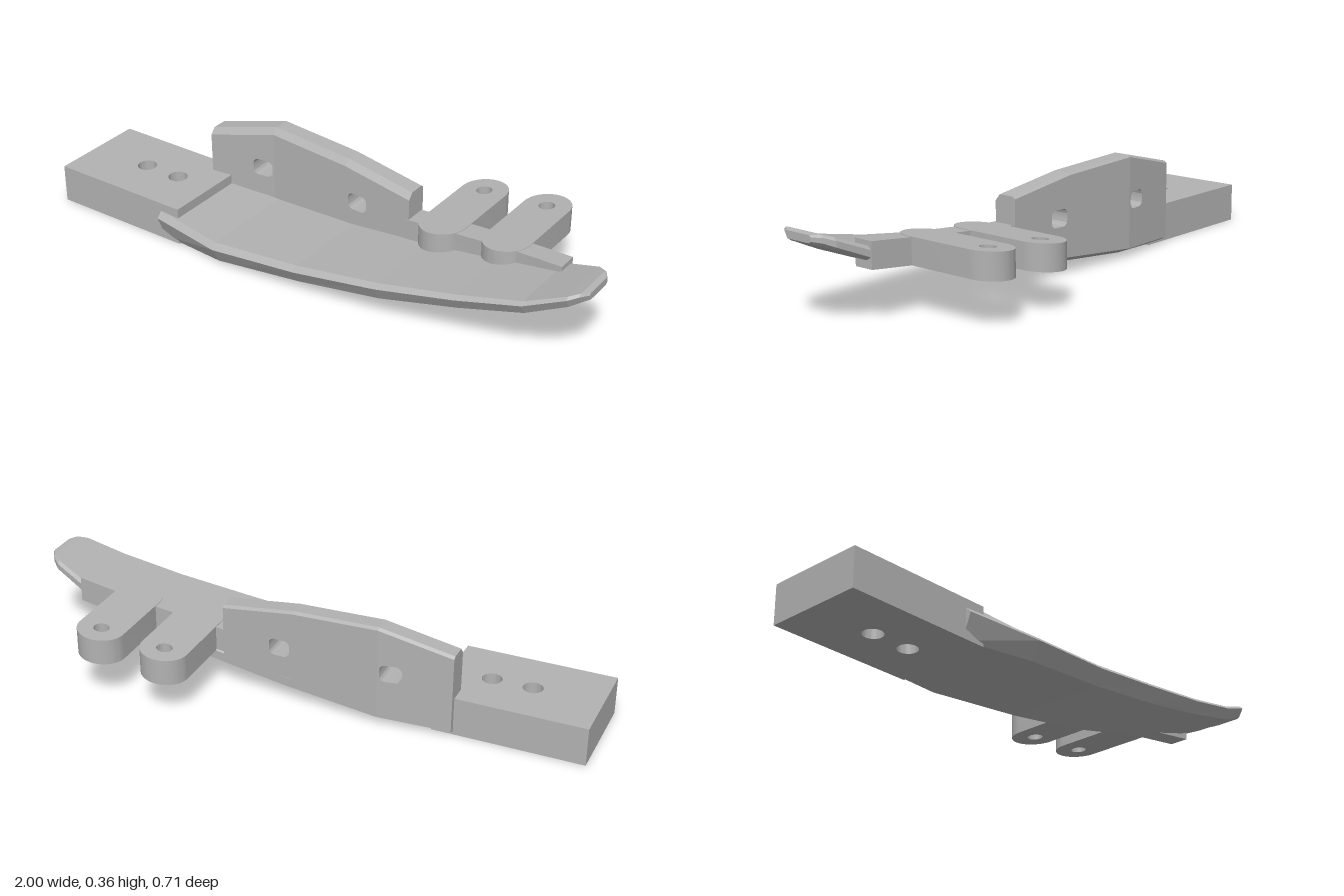
import * as THREE from 'three';
import { toCreasedNormals } from 'three/addons/utils/BufferGeometryUtils.js';

// Closed loft through rings listed along +x, each ring counter-clockwise seen from +x
function loft(rings) {
  const pos = [];
  const n = rings[0].length;
  const tri = (a, b, c) => pos.push(...a, ...b, ...c);
  for (let i = 0; i < rings.length - 1; i++) {
    for (let j = 0; j < n; j++) {
      const k = (j + 1) % n;
      const [a, b, c, d] = [rings[i][j], rings[i][k], rings[i + 1][j], rings[i + 1][k]];
      tri(a, b, c);
      tri(b, d, c);
    }
  }
  const first = rings[0], last = rings[rings.length - 1];
  for (let j = 1; j < n - 1; j++) {
    tri(first[0], first[j + 1], first[j]);
    tri(last[0], last[j], last[j + 1]);
  }
  const g = new THREE.BufferGeometry();
  g.setAttribute('position', new THREE.Float32BufferAttribute(pos, 3));
  g.computeVertexNormals();
  return g;
}

// Moves every vertex by a rule, then rebuilds normals with sharp edges
function reshape(geometry, rule) {
  const p = geometry.attributes.position;
  const v = new THREE.Vector3();
  for (let i = 0; i < p.count; i++) {
    v.fromBufferAttribute(p, i);
    rule(v);
    p.setXYZ(i, v.x, v.y, v.z);
  }
  return toCreasedNormals(geometry, 0.5);
}

const extrude = (shape, depth) =>
  new THREE.ExtrudeGeometry(shape, { depth, bevelEnabled: false, curveSegments: 14 });

const shapeOf = (pts) => new THREE.Shape(pts.map(([x, y]) => new THREE.Vector2(x, y)));

function roundHole(x, y, r) {
  const h = new THREE.Path();
  h.absarc(x, y, r, 0, Math.PI * 2, true);
  return h;
}

function slotHole(x, y, w, h, r) {
  const p = new THREE.Path();
  const corners = [[1, 1, 0], [-1, 1, 1], [-1, -1, 2], [1, -1, 3]];
  for (const [sx, sy, q] of corners) {
    p.absarc(x + sx * (w / 2 - r), y + sy * (h / 2 - r), r, q * Math.PI / 2, (q + 1) * Math.PI / 2, false);
  }
  p.closePath();
  return p;
}

export function createModel() {
  const model = new THREE.Group();
  const grey = new THREE.MeshStandardMaterial({ color: 0xb2b2b2 });
  grey.name = 'plain grey';
  const add = (name, geometry) => {
    const m = new THREE.Mesh(geometry, grey);
    m.name = name;
    model.add(m);
  };

  // Mounting block with two vertical bolt holes
  const block = shapeOf([[-1, -0.3], [-0.48, -0.3], [-0.48, 0.045], [-1, 0.045]]);
  for (const x of [-0.765, -0.625]) block.holes.push(roundHole(x, -0.125, 0.034));
  add('mountingBlock', toCreasedNormals(extrude(block, 0.135).rotateX(-Math.PI / 2), 0.5));

  // Upswept sole: x, bottom, top, back z, front z, edge chamfer
  const sole = [
    [-0.555, 0, 0.105, -0.065, 0.32, 0.02],
    [-0.29, 0.013, 0.092, -0.092, 0.355, 0.02],
    [0.03, 0.042, 0.11, -0.08, 0.335, 0.018],
    [0.33, 0.083, 0.147, -0.066, 0.315, 0.016],
    [0.6, 0.138, 0.192, -0.042, 0.285, 0.014],
    [0.82, 0.193, 0.24, -0.022, 0.26, 0.012],
    [0.95, 0.25, 0.29, 0.01, 0.228, 0.01],
    [0.98, 0.265, 0.3, 0.035, 0.205, 0.009],
    [1, 0.272, 0.297, 0.065, 0.178, 0.006],
  ];
  add('sole', loft(sole.map(([x, b, t, zb, zf, c]) => [
    [x, b, zf - c * 1.7], [x, b, zb + c * 1.7], [x, b + c, zb], [x, t - c, zb],
    [x, t, zb + c], [x, t, zf - c], [x, t - c, zf],
  ])));

  // Side wall in two straight panels meeting at a slight bend
  const bend = -0.305, thick = 0.083;
  const wallBack = (x) => (x < bend
    ? THREE.MathUtils.mapLinear(x, -0.555, bend, -0.065, -0.094)
    : THREE.MathUtils.mapLinear(x, bend, 0.26, -0.094, -0.07));
  const rim = 0.022;
  const panels = [
    [[[-0.555, 0.02], [bend, 0.03], [bend, 0.36 - rim], [-0.555, 0.297 - rim]], -0.35],
    [[[bend, 0.03], [0.03, 0.06], [0.26, 0.09], [0.26, 0.305 - rim], [0, 0.344 - rim], [bend, 0.36 - rim]], 0.05],
  ];
  for (const [outline, holeX] of panels) {
    const s = shapeOf(outline);
    s.holes.push(slotHole(holeX, 0.198, 0.075, 0.06, 0.02));
    add('sideWall', reshape(extrude(s, thick), (v) => { v.z += wallBack(v.x); }));
  }

  // Chamfered rim along the top of the wall
  const rimLine = [[-0.555, 0.297], [bend, 0.36], [0, 0.344], [0.26, 0.305]];
  add('wallRim', loft(rimLine.map(([x, y]) => {
    const b = wallBack(x), f = b + thick;
    return [[x, y - rim, f], [x, y - rim, b], [x, y - 0.008, b], [x, y, b + 0.01], [x, y, f - 0.018]];
  })));

  // Bracket: two round-ended lugs joined by a strip along the sole
  const lugs = [0.373, 0.609], r = 0.082;
  const strip = shapeOf([[0.25, -0.015], [0.66, -0.03], [0.84, -0.05], [0.84, 0.02], [0.66, 0.04], [0.5, 0.055], [0.25, 0.065]]);
  const tilt = (v) => { v.y += 0.127 + 0.09 * (v.x - 0.3); };
  add('bracketStrip', reshape(extrude(strip, 0.088).rotateX(-Math.PI / 2), tilt));
  for (const x of lugs) {
    const lug = new THREE.Shape();
    lug.absarc(x, 0.273, r, 0, Math.PI, false);
    lug.absarc(x, 0.022, r, Math.PI, Math.PI * 2, false);
    lug.closePath();
    lug.holes.push(roundHole(x, 0.273, 0.027));
    add('bracketLug', reshape(extrude(lug, 0.09).rotateX(-Math.PI / 2), tilt));
  }
  return model;
}
